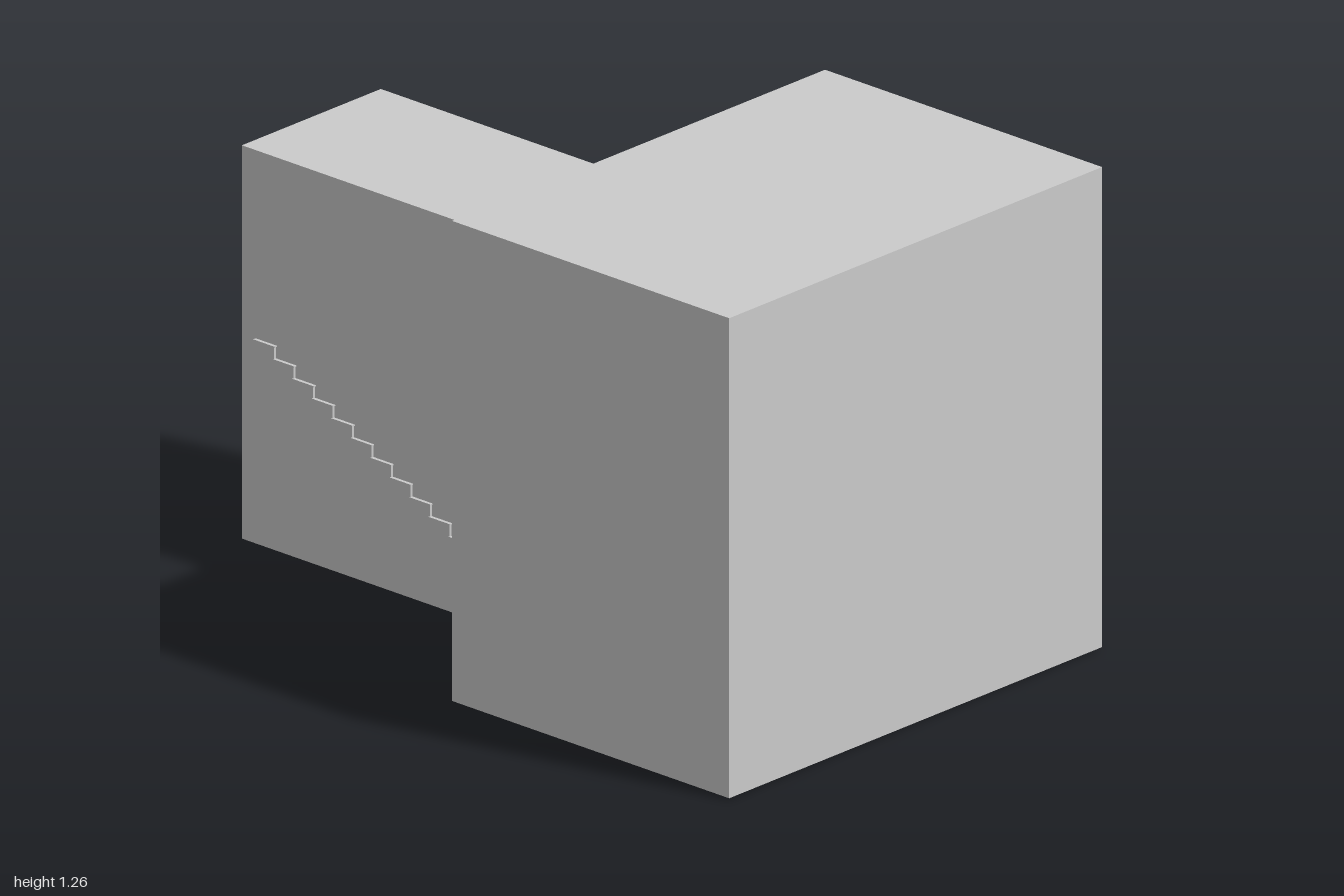
import * as THREE from 'three';

export function createModel() {
  const group = new THREE.Group();
  const material = new THREE.MeshStandardMaterial({ color: 0xcccccc, flatShading: true });

  // Box given by half width in x, and ranges in y and z
  function addBox(parent, name, halfX, y0, y1, z0, z1) {
    const mesh = new THREE.Mesh(new THREE.BoxGeometry(halfX * 2, y1 - y0, z1 - z0), material);
    mesh.name = name;
    mesh.position.set(0, (y0 + y1) / 2, (z0 + z1) / 2);
    parent.add(mesh);
  }

  // Two plain building blocks, just clear of the ground
  const base = 0.004;
  addBox(group, 'mainBlock', 0.663, base, 1.26, 0.083, 1);
  addBox(group, 'rearBlock', 0.247, base, 1.033, -1, 0.083);

  // Staircase of thin treads and risers, showing slightly on both sides
  const stairs = new THREE.Group();
  stairs.name = 'staircase';
  group.add(stairs);
  const steps = 16, rise = 0.0337, going = 0.0645, thick = 0.003;
  for (let i = 0; i < steps; i++) {
    const front = 0.083 - i * going;
    const top = (i + 1) * rise + thick / 2;
    addBox(stairs, 'tread', 0.256, top - thick, top, front - 0.07, front);
    addBox(stairs, 'riser', 0.253, i * rise, top - thick, front - 0.005, front - 0.003);
  }

  return group;
}
